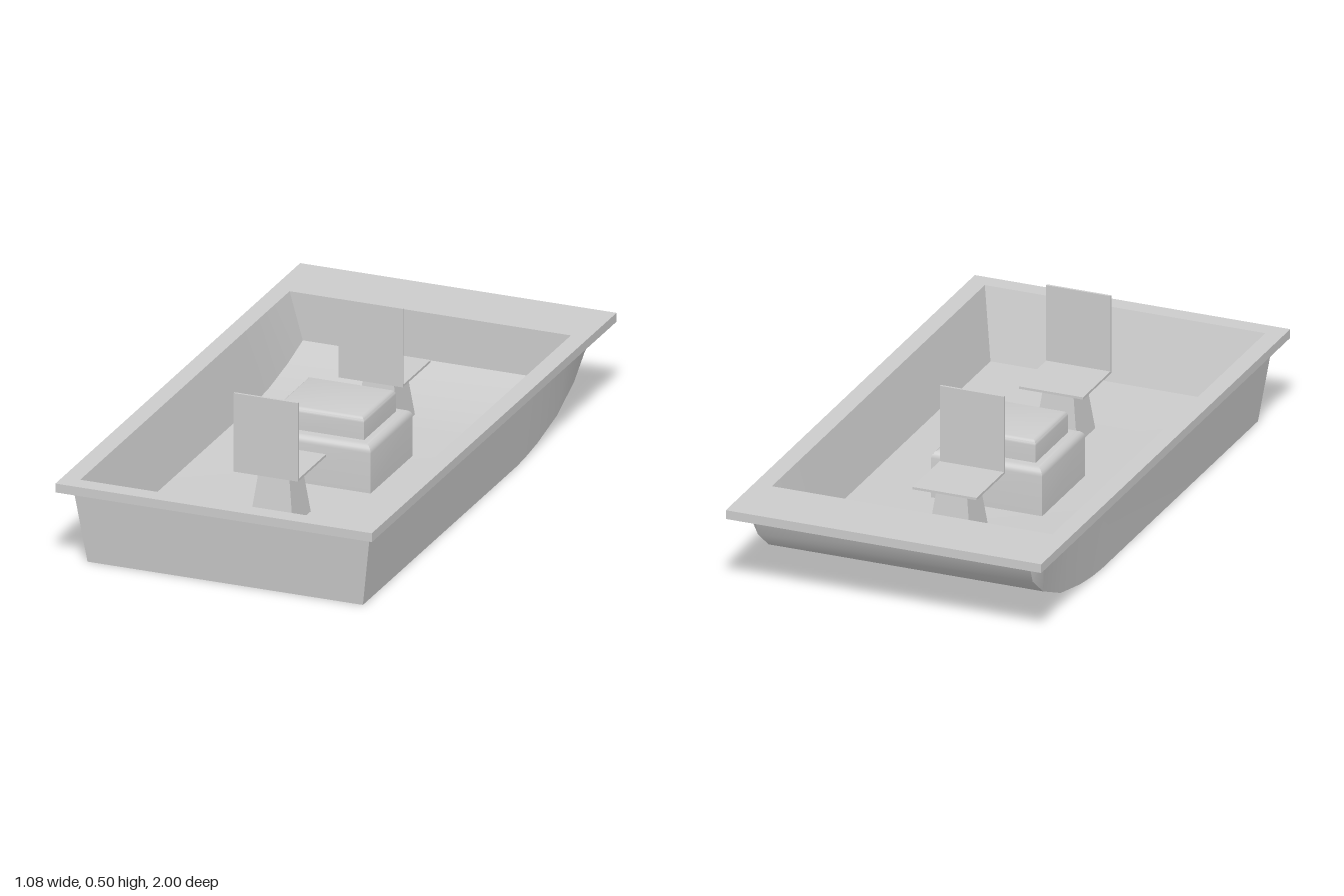
import * as THREE from 'three';
import { toCreasedNormals } from 'three/addons/utils/BufferGeometryUtils.js';

const material = new THREE.MeshStandardMaterial({ color: 0xcccccc });
const shellMaterial = new THREE.MeshStandardMaterial({ color: 0xcccccc, side: THREE.DoubleSide });

function addMesh(parent, name, geometry, mat = material) {
  const mesh = new THREE.Mesh(geometry, mat);
  mesh.name = name;
  parent.add(mesh);
  return mesh;
}

// Skin a list of rows of points with quads; edges sharper than 0.6 rad stay crisp
function skin(rows) {
  const index = [];
  const n = rows[0].length;
  for (let r = 0; r < rows.length - 1; r++) {
    for (let i = 0; i < n - 1; i++) {
      const a = r * n + i, b = a + 1, c = b + n, d = a + n;
      index.push(a, b, c, a, c, d);
    }
  }
  const geometry = new THREE.BufferGeometry();
  geometry.setAttribute('position', new THREE.Float32BufferAttribute(rows.flat(2), 3));
  geometry.setIndex(index);
  return toCreasedNormals(geometry, 0.6);
}

// U-shaped section: top edge, bottom edge, bottom edge, top edge
const section = (topX, topY, topZ, x, y, z) =>
  [[topX, topY, topZ], [x, y, z], [-x, y, z], [-topX, topY, topZ]];

// Stack of rectangles [halfX, halfZ, y], closed on top
function rectStack(levels) {
  const top = levels[levels.length - 1];
  return skin([...levels, [0, 0, top[2]]].map(([x, z, y]) =>
    [[x, y, z], [x, y, -z], [-x, y, -z], [-x, y, z], [x, y, z]]));
}

// Box with a quarter-round along its top edges
function cushionBox(hx, hz, y0, y1, r) {
  const levels = [[hx, hz, y0]];
  for (let i = 0; i <= 5; i++) {
    const a = (i / 5) * Math.PI / 2;
    const inset = r * (1 - Math.cos(a));
    levels.push([hx - inset, hz - inset, y1 - r + r * Math.sin(a)]);
  }
  return rectStack(levels);
}

export function createModel() {
  const boat = new THREE.Group();
  boat.name = 'boat';

  // Outer hull: flat bottom sweeping up to the bow at -z
  const keel = [[-0.35, 0], [-0.42, 0.004], [-0.52, 0.016], [-0.68, 0.05], [-0.82, 0.112], [-0.905, 0.18]];
  const hullRows = [
    Array(4).fill([0, 0.26, 0.935]),
    section(0.507, 0.26, 0.935, 0.47, 0, 0.905),
    ...keel.map(([z, y]) => section(0.507, 0.26, z, 0.47, y, z)),
    section(0.47, 0.26, -0.935, 0.47, 0.26, -0.935),
  ];
  addMesh(boat, 'hull', skin(hullRows), shellMaterial);

  // Cockpit liner: sloping walls and a floor that rises with the hull
  const floor = [[-0.35, 0.06], [-0.5, 0.072], [-0.65, 0.098], [-0.77, 0.13]];
  const linerRows = [
    Array(4).fill([0, 0.29, 0.94]),
    section(0.48, 0.29, 0.94, 0.435, 0.06, 0.88),
    ...floor.map(([z, y]) => section(0.48, 0.29, z, 0.435, y, z)),
    Array(4).fill([0, 0.29, -0.77]),
  ];
  addMesh(boat, 'cockpit', skin(linerRows.map((row) => [...row].reverse())), shellMaterial);

  // Flat rim with the cockpit opening; shape y becomes -z
  const rect = (T, x, y0, y1) => new T([[-x, y0], [x, y0], [x, y1], [-x, y1]].map((p) => new THREE.Vector2(...p)));
  const rimShape = rect(THREE.Shape, 0.54, -1, 1);
  rimShape.holes.push(rect(THREE.Path, 0.48, -0.94, 0.77));
  const rim = new THREE.ExtrudeGeometry(rimShape, { depth: 0.03, bevelEnabled: false });
  rim.rotateX(-Math.PI / 2);
  addMesh(boat, 'rim', rim).position.y = 0.26;

  // Central console in two tiers
  const consoleBox = new THREE.Group();
  consoleBox.name = 'console';
  addMesh(consoleBox, 'consoleBase', cushionBox(0.19, 0.172, 0.05, 0.22, 0.025));
  addMesh(consoleBox, 'consoleTop', cushionBox(0.15, 0.13, 0.21, 0.296, 0.018));
  boat.add(consoleBox);

  // Two seats facing the bow, each on a tapered pedestal
  for (const [name, z] of [['sternSeat', 0.455], ['bowSeat', -0.4]]) {
    const seat = new THREE.Group();
    seat.name = name;
    seat.position.z = z;
    addMesh(seat, 'pedestal', rectStack([[0.074, 0.074, 0.055], [0.05, 0.05, 0.24]]));
    addMesh(seat, 'seatPlate', new THREE.BoxGeometry(0.22, 0.008, 0.22)).position.y = 0.242;
    addMesh(seat, 'seatBack', new THREE.BoxGeometry(0.22, 0.267, 0.008)).position.set(0, 0.3715, 0.114);
    boat.add(seat);
  }

  return boat;
}
